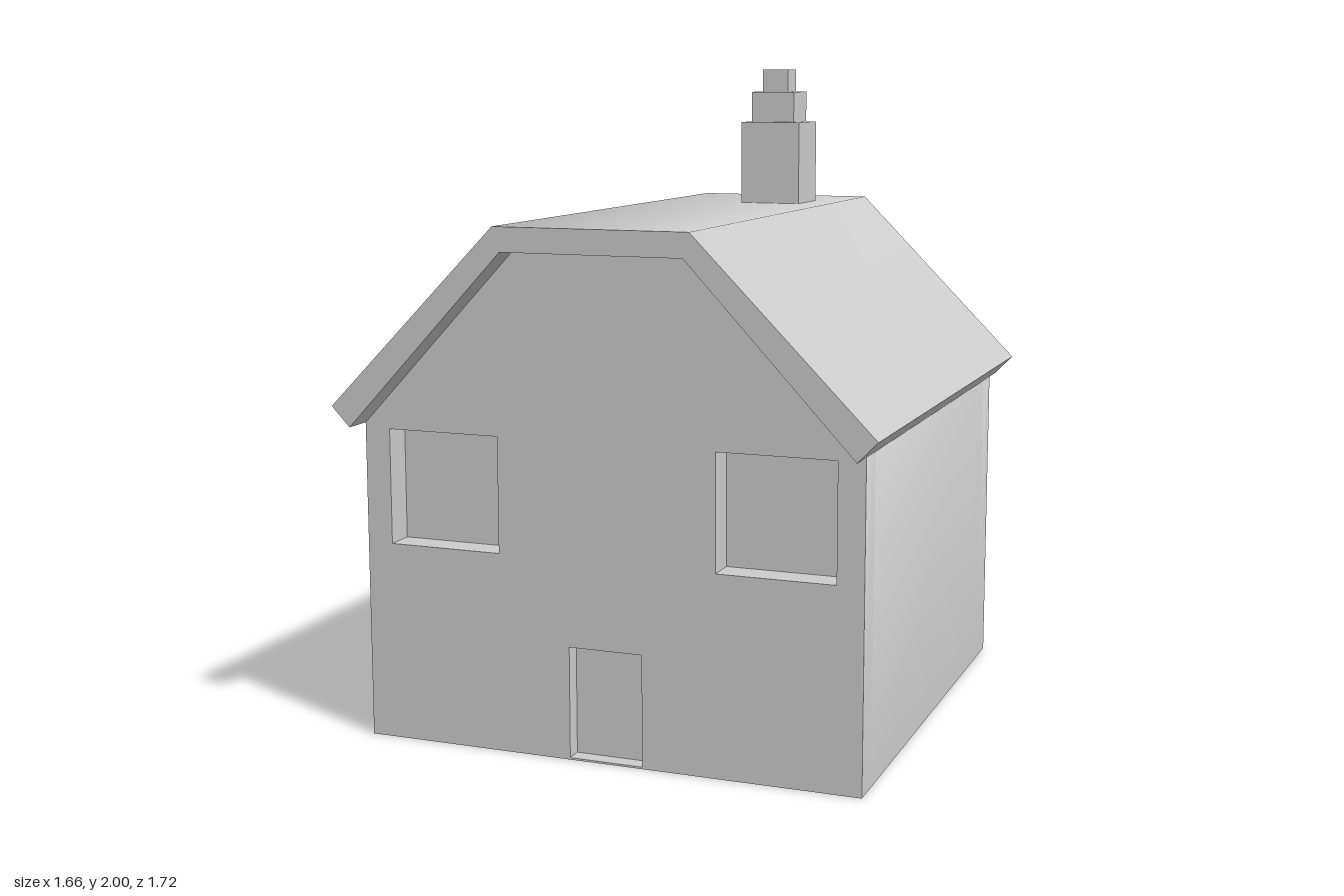
import * as THREE from 'three';
import { toCreasedNormals } from 'three/addons/utils/BufferGeometryUtils.js';

const material = new THREE.MeshStandardMaterial({ color: 0xcccccc });

const toPoints = (list) => list.map(([x, y]) => new THREE.Vector2(x, y));
const rectangle = (x0, x1, y0, y1) => [[x0, y0], [x0, y1], [x1, y1], [x1, y0]];

// Extrudes an outline, with optional holes, from z0 to z1
function slab(name, outline, z0, z1, holes = []) {
  const shape = new THREE.Shape(toPoints(outline));
  for (const hole of holes) shape.holes.push(new THREE.Path(toPoints(hole)));
  const geometry = new THREE.ExtrudeGeometry(shape, { depth: z1 - z0, bevelEnabled: false });
  geometry.translate(0, 0, z0);
  const mesh = new THREE.Mesh(toCreasedNormals(geometry, 0.9), material);
  mesh.name = name;
  return mesh;
}

function box(name, x0, x1, y0, y1, z0, z1) {
  const geometry = new THREE.BoxGeometry(x1 - x0, y1 - y0, z1 - z0);
  geometry.translate((x0 + x1) / 2, (y0 + y1) / 2, (z0 + z1) / 2);
  const mesh = new THREE.Mesh(geometry, material);
  mesh.name = name;
  return mesh;
}

export function createModel() {
  const house = new THREE.Group();
  house.name = 'house';

  // Walls: a solid core with a pierced layer on each gable end
  const gable = [
    [-0.77, 0], [0.77, 0], [0.77, 0.962], [0.275, 1.49], [-0.275, 1.49], [-0.77, 0.962],
  ];
  const half = 0.77, recess = 0.09;
  const frontOpenings = [
    rectangle(-0.69, -0.337, 0.6, 0.947),
    rectangle(0.337, 0.69, 0.6, 0.947),
    rectangle(-0.115, 0.112, 0.006, 0.34),
  ];
  const backWindow = rectangle(-0.177, 0.177, 0.6, 0.947);
  house.add(
    slab('wallCore', gable, -half + recess, half - recess),
    slab('frontWall', gable, half - recess, half, frontOpenings),
    slab('backWall', gable, -half, -half + recess, [backWindow]),
  );

  // Door panel, shallower than the windows
  house.add(box('door', -0.115, 0.112, 0.006, 0.34, half - recess, half - 0.05));

  // Roof: bent sheet overhanging the gables
  house.add(slab('roof', [
    [0.77, 0.962], [0.828, 1.022], [0.293, 1.562], [-0.297, 1.562],
    [-0.828, 1.022], [-0.77, 0.962], [-0.275, 1.49], [0.275, 1.49],
  ], -0.862, 0.862));

  // Chimney: two stacked blocks and a hollow square pot
  const chimney = new THREE.Group();
  chimney.name = 'chimney';
  chimney.position.set(0.1, 0, -0.485);
  chimney.add(
    box('chimneyBase', -0.1, 0.1, 1.54, 1.828, -0.094, 0.094),
    box('chimneyCollar', -0.073, 0.073, 1.828, 1.927, -0.068, 0.068),
  );
  const pot = slab('chimneyPot', rectangle(-0.044, 0.044, -0.042, 0.042), 0, 0.073,
    [rectangle(-0.035, 0.035, -0.034, 0.034)]);
  pot.rotation.x = -Math.PI / 2;
  pot.position.y = 1.927;
  chimney.add(pot);
  house.add(chimney);

  return house;
}
